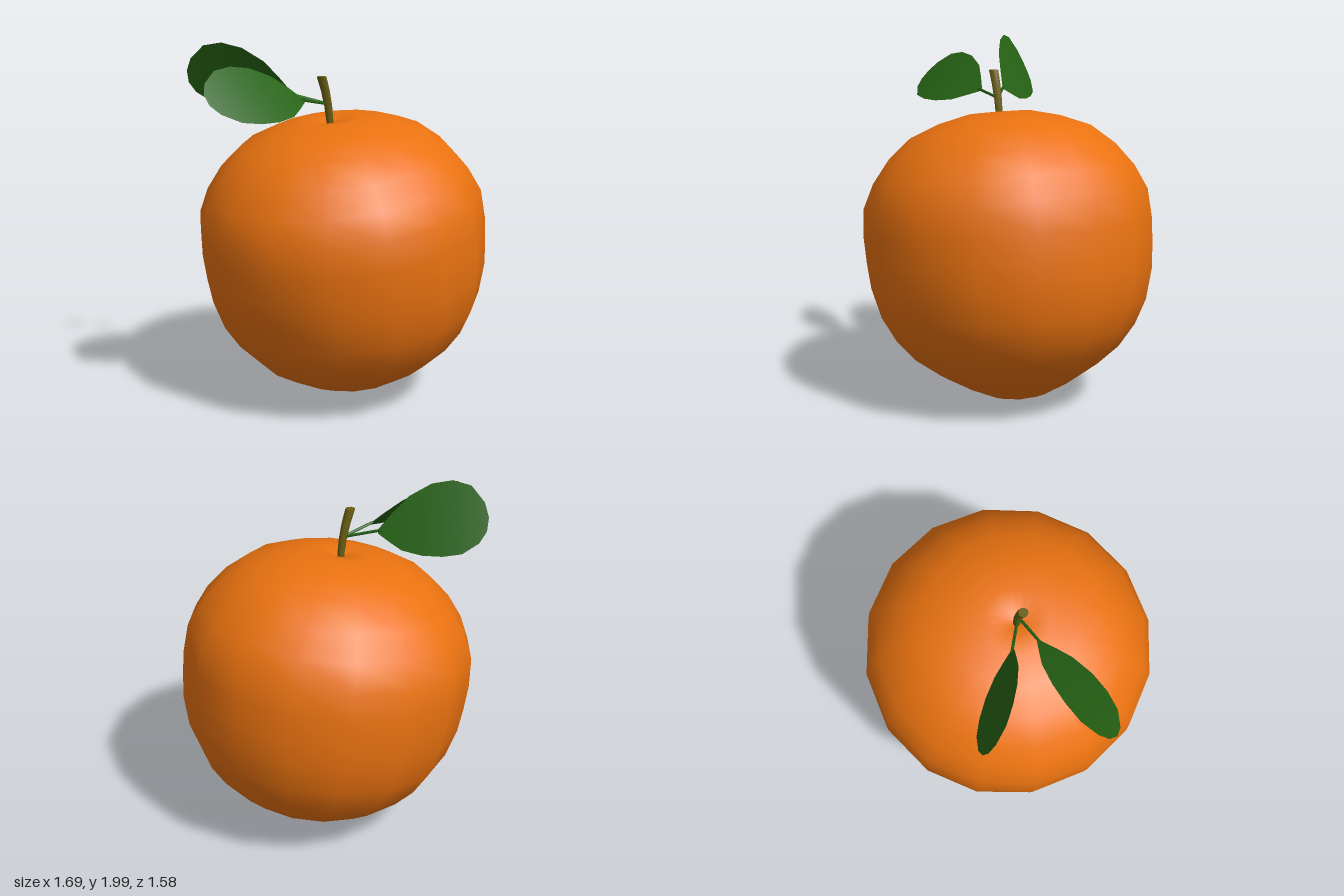
import * as THREE from 'three';

const V = (x, y, z) => new THREE.Vector3(x, y, z);
const material = (color, side = THREE.FrontSide) => new THREE.MeshStandardMaterial({ color, side });

function addMesh(parent, name, geometry, mat) {
  const mesh = new THREE.Mesh(geometry, mat);
  mesh.name = name;
  parent.add(mesh);
  return mesh;
}

// Half width of a leaf blade at positions along its length
const leafOutline = [
  [0, 0.012], [0.11, 0.075], [0.23, 0.135], [0.42, 0.178],
  [0.61, 0.188], [0.79, 0.168], [0.94, 0.1], [1, 0.035],
];

// Blade: rows of three points (edge, midrib, edge) along an arched midrib
function leafBlade(midrib, across) {
  const positions = [], index = [];
  leafOutline.forEach(([t, halfWidth], row) => {
    const centre = midrib.getPoint(t);
    for (const side of [-1, 0, 1]) {
      positions.push(...centre.clone().addScaledVector(across, side * halfWidth).toArray());
    }
    if (row === 0) return;
    for (const column of [0, 1]) {
      const a = (row - 1) * 3 + column, b = a + 3;
      index.push(a, a + 1, b, b, a + 1, b + 1);
    }
  });
  const geometry = new THREE.BufferGeometry();
  geometry.setAttribute('position', new THREE.Float32BufferAttribute(positions, 3));
  geometry.setIndex(index);
  geometry.computeVertexNormals();
  return geometry;
}

export function createModel() {
  const model = new THREE.Group();
  const orange = material(0xea7210);
  const bark = material(0x6b5f14);
  const green = material(0x266314, THREE.DoubleSide);

  // Fruit body: lathe with a pointed base and dimpled top, leaning slightly
  const profile = [
    [0, -0.912], [0.157, -0.875], [0.308, -0.805], [0.44, -0.727], [0.564, -0.633],
    [0.661, -0.515], [0.73, -0.383], [0.773, -0.218], [0.786, -0.08], [0.792, 0.06],
    [0.78, 0.215], [0.719, 0.345], [0.625, 0.469], [0.498, 0.577], [0.336, 0.642],
    [0.172, 0.682], [0.06, 0.67], [0, 0.64],
  ].map(([r, y]) => new THREE.Vector2(r, y));
  const fruit = addMesh(model, 'fruit', new THREE.LatheGeometry(profile, 16), orange);
  fruit.position.set(0.045, 0.91, 0);
  fruit.rotation.z = 0.137;

  // Stem: flared cylinder bent toward the leaves
  const stem = new THREE.CylinderGeometry(0.026, 0.017, 0.315, 8, 4);
  const p = stem.attributes.position;
  for (let i = 0; i < p.count; i++) {
    const t = p.getY(i) / 0.315 + 0.5;
    p.setX(i, p.getX(i) - 0.06 * t * t);
  }
  stem.computeVertexNormals();
  addMesh(model, 'stem', stem, bark).position.set(-0.045, 1.6575, 0);

  // Leaves: each a blade on a thin stalk growing from the stem
  const leaves = [
    {
      name: 'sideLeaf',
      base: V(-0.23, 1.7, 0.005), middle: V(-0.56, 1.79, 0.035), tip: V(-0.848, 1.757, 0.012),
      across: V(0, -0.7, 0.7),
    },
    {
      name: 'backLeaf',
      base: V(-0.2, 1.71, -0.125), middle: V(-0.42, 1.86, -0.355), tip: V(-0.593, 1.805, -0.54),
      across: V(-0.34, 0.95, 0.29),
    },
  ];
  for (const { name, base, middle, tip, across } of leaves) {
    const leaf = new THREE.Group();
    leaf.name = name;
    const midrib = new THREE.QuadraticBezierCurve3(base, middle, tip);
    addMesh(leaf, name + 'Blade', leafBlade(midrib, across), green);
    const stalk = new THREE.LineCurve3(V(-0.06, 1.665, 0), midrib.getPoint(0.03));
    addMesh(leaf, name + 'Stalk', new THREE.TubeGeometry(stalk, 1, 0.008, 5), green);
    model.add(leaf);
  }
  return model;
}
